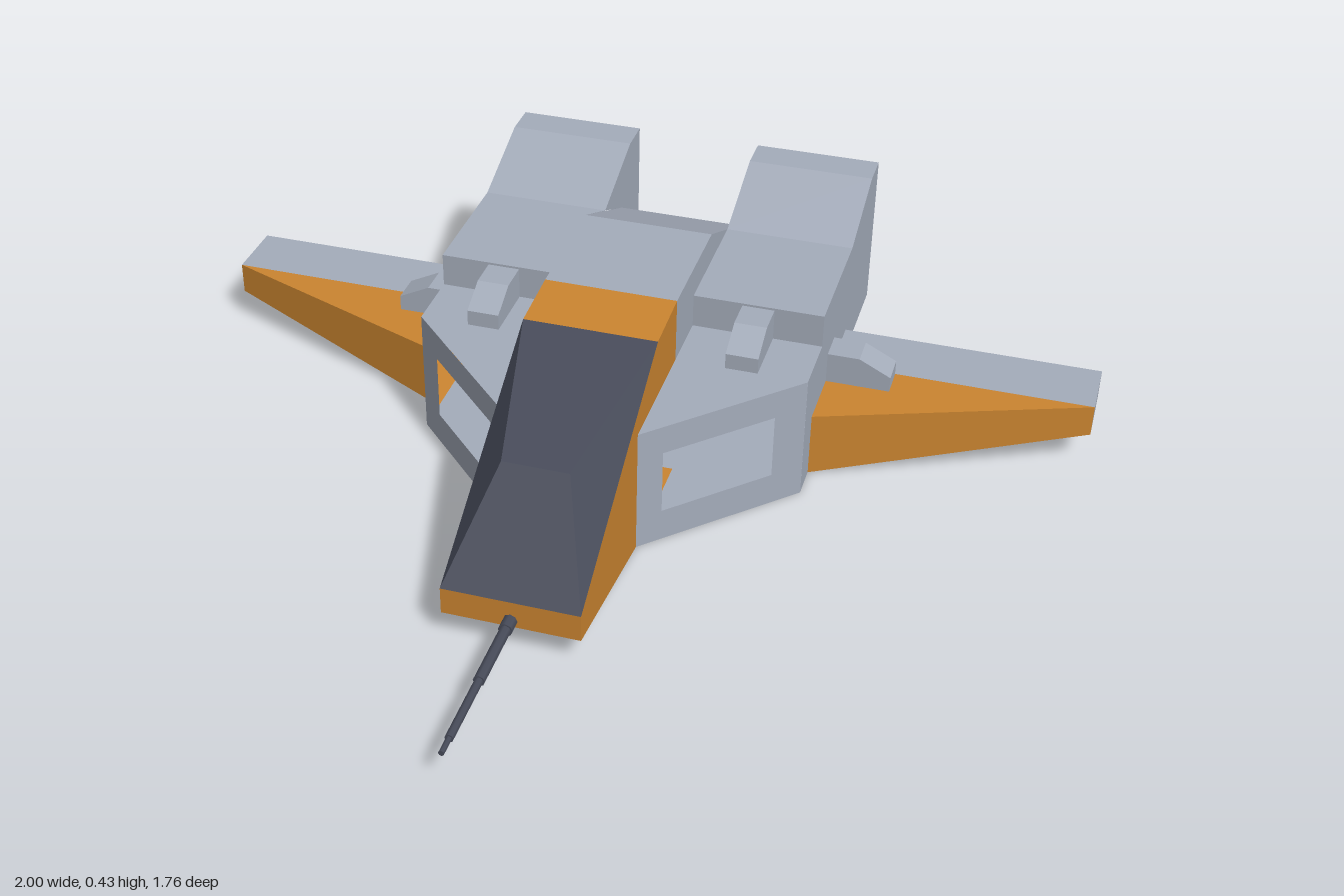
import * as THREE from 'three';

const paint = (name, color) => {
  const m = new THREE.MeshStandardMaterial({ color, side: THREE.DoubleSide });
  m.name = name;
  return m;
};

export function createModel() {
  const hullGrey = paint('hullGrey', 0xa4acba);
  const orange = paint('orange', 0xca8430);
  const dark = paint('darkGlass', 0x474b59);
  const model = new THREE.Group();
  model.name = 'spacecraft';

  const add = (parent, name, geometry, material) => {
    const mesh = new THREE.Mesh(geometry, material);
    mesh.name = name;
    parent.add(mesh);
    return mesh;
  };

  // Flat convex faces, each a loop of [x, y, z] corners
  const faces = (parent, name, material, loops) => {
    const pos = [];
    for (const p of loops)
      for (let i = 1; i < p.length - 1; i++) pos.push(...p[0], ...p[i], ...p[i + 1]);
    const g = new THREE.BufferGeometry();
    g.setAttribute('position', new THREE.Float32BufferAttribute(pos, 3));
    g.computeVertexNormals();
    return add(parent, name, g, material);
  };

  // Flat plate of any outline, with an optional hole, placed by map(u, v)
  const plate = (parent, name, material, outline, map, hole) => {
    const toPts = (a) => a.map(([u, v]) => new THREE.Vector2(u, v));
    const shape = new THREE.Shape(toPts(outline));
    if (hole) shape.holes.push(new THREE.Path(toPts(hole)));
    const g = new THREE.ShapeGeometry(shape);
    const p = g.attributes.position;
    for (let i = 0; i < p.count; i++) p.setXYZ(i, ...map(p.getX(i), p.getY(i)));
    g.computeVertexNormals();
    return add(parent, name, g, material);
  };
  const rect = (u0, v0, u1, v1) => [[u0, v0], [u1, v0], [u1, v1], [u0, v1]];

  const C = 0.143; // half width of the fuselage
  const W = 0.427; // outer side of the engine bodies
  // Strip across the fuselage between two [z, y] stations
  const strip = ([z0, y0], [z1, y1]) => [[-C, y0, z0], [C, y0, z0], [C, y1, z1], [-C, y1, z1]];
  // Strip across one engine body
  const engineStrip = ([z0, y0], [z1, y1]) => [[C, y0, z0], [W, y0, z0], [W, y1, z1], [C, y1, z1]];

  // Fuselage centre line
  faces(model, 'cockpitPaint', orange, [
    strip([0.5, 0.06], [0.5, 0.12]),
    strip([-0.02, 0.42], [-0.165, 0.43]),
    strip([0.12, 0], [0.5, 0.06]),
    strip([-0.165, 0], [0.12, 0]),
  ]);
  faces(model, 'fuselageShell', hullGrey, [
    strip([-0.165, 0.43], [-0.45, 0.43]),
    strip([-0.45, 0.43], [-0.735, 0.295]),
    strip([-0.735, 0.295], [-0.735, 0]),
    strip([-0.735, 0], [-0.165, 0]),
  ]);

  // Faceted canopy
  const R = 0.07;
  const ridge = (s) => [s * R, 0.325, 0.335];
  const front = (s) => [s * C, 0.12, 0.5];
  const rear = (s) => [s * C, 0.42, -0.02];
  faces(model, 'canopy', dark, [
    [front(-1), front(1), ridge(1), ridge(-1)],
    [ridge(-1), ridge(1), rear(1), rear(-1)],
    [front(1), rear(1), ridge(1)],
    [rear(-1), front(-1), ridge(-1)],
  ]);

  // Stepped nose barrel
  for (const [z0, z1, r] of [[0.49, 0.53, 0.015], [0.53, 0.68, 0.012], [0.68, 0.84, 0.009], [0.84, 0.88, 0.006]]) {
    const g = new THREE.CylinderGeometry(r, r, z1 - z0, 8);
    g.rotateX(Math.PI / 2).translate(0, 0.075, (z0 + z1) / 2);
    add(model, 'noseBarrel', g, dark);
  }
  // Small belly sensor
  const sensor = new THREE.CylinderGeometry(0.02, 0.012, 0.018, 8);
  sensor.translate(0, 0.009, 0.17);
  add(model, 'bellySensor', sensor, dark);

  // Blunt wedge used for the top and wing fittings
  const wedge = () => new THREE.ExtrudeGeometry(
    new THREE.Shape([[0, 0], [0.14, 0], [0.14, 0.035], [0.07, 0.07], [0, 0.07]].map((p) => new THREE.Vector2(...p))),
    { depth: 0.07, bevelEnabled: false }).translate(0, 0, -0.035);

  for (const s of [1, -1]) {
    const side = new THREE.Group();
    side.name = s > 0 ? 'leftSide' : 'rightSide';
    side.scale.x = s;
    model.add(side);
    const atX = (x) => (z, y) => [x, y, z];

    // Cockpit and fuselage flanks
    plate(side, 'cockpitFlank', orange, [[0.5, 0.06], [0.5, 0.12], [-0.02, 0.42], [-0.165, 0.43],
      [-0.165, 0.285], [0.12, 0.285], [0.12, 0]], atX(C));
    plate(side, 'fuselageFlank', hullGrey, [[-0.165, 0.43], [-0.45, 0.43], [-0.6, 0.36],
      [-0.305, 0.36], [-0.305, 0.285], [-0.165, 0.285]], atX(C));
    plate(side, 'tailFlank', hullGrey, rect(-0.735, 0, -0.6, 0.075), atX(C));

    // Hollow engine body with swept intake, open at the wing root
    plate(side, 'intakeFrame', hullGrey, rect(C, 0, W, 0.285), (x, y) => [x, y, 0.263 - x],
      rect(0.185, 0.073, 0.373, 0.22));
    plate(side, 'exhaustFrame', hullGrey, rect(C, 0.075, W, 0.43), (x, y) => [x, y, -0.88],
      rect(0.214, 0.147, 0.362, 0.358));
    plate(side, 'engineOuterWall', hullGrey, [[-0.165, 0], [-0.24, 0], [-0.24, 0.147], [-0.6, 0.147],
      [-0.6, 0.075], [-0.88, 0.075], [-0.88, 0.43], [-0.8, 0.43], [-0.6, 0.36], [-0.305, 0.36],
      [-0.305, 0.285], [-0.165, 0.285]], atX(W));
    plate(side, 'engineInnerWall', hullGrey, [[-0.6, 0.36], [-0.735, 0.295], [-0.735, 0.075],
      [-0.88, 0.075], [-0.88, 0.43], [-0.8, 0.43]], atX(C));
    const sweptDeck = (y) => [[C, y, 0.12], [W, y, -0.165], [W, y, -0.305], [C, y, -0.305]];
    faces(side, 'engineShell', hullGrey, [
      sweptDeck(0.285),
      engineStrip([-0.305, 0.285], [-0.305, 0.36]),
      engineStrip([-0.305, 0.36], [-0.6, 0.36]),
      engineStrip([-0.6, 0.36], [-0.8, 0.43]),
      engineStrip([-0.8, 0.43], [-0.88, 0.43]),
      engineStrip([-0.88, 0.075], [-0.6, 0.075]),
      engineStrip([-0.6, 0.075], [-0.6, 0]),
      engineStrip([-0.6, 0], [-0.305, 0]),
      sweptDeck(0),
    ]);

    // Wing: painted leading triangle, grey trailing band
    const T = 0.147, zF = -0.24, zM = -0.455, zB = -0.6;
    faces(side, 'wingLeadingPaint', orange, [
      [[W, T, zF], [1, T, zM], [W, T, zM]],
      [[W, 0, zF], [W, 0, zM], [1, 0.075, zM]],
      [[W, 0, zF], [1, 0.075, zM], [1, T, zM], [W, T, zF]],
    ]);
    faces(side, 'wing', hullGrey, [
      [[W, T, zM], [1, T, zM], [1, T, zB], [W, T, zB]],
      [[W, 0, zB], [1, 0.075, zB], [1, 0.075, zM], [W, 0, zM]],
      [[1, 0.075, zM], [1, 0.075, zB], [1, T, zB], [1, T, zM]],
      [[W, 0, zB], [W, T, zB], [1, T, zB], [1, 0.075, zB]],
    ]);

    // Fittings on the engine deck and on the wing root
    const deckFitting = wedge().rotateY(-Math.PI / 2).translate(0.285, 0.285, -0.305);
    add(side, 'deckFitting', deckFitting, hullGrey);
    add(side, 'wingFitting', wedge().translate(W, T, -0.418), hullGrey);
  }
  return model;
}
